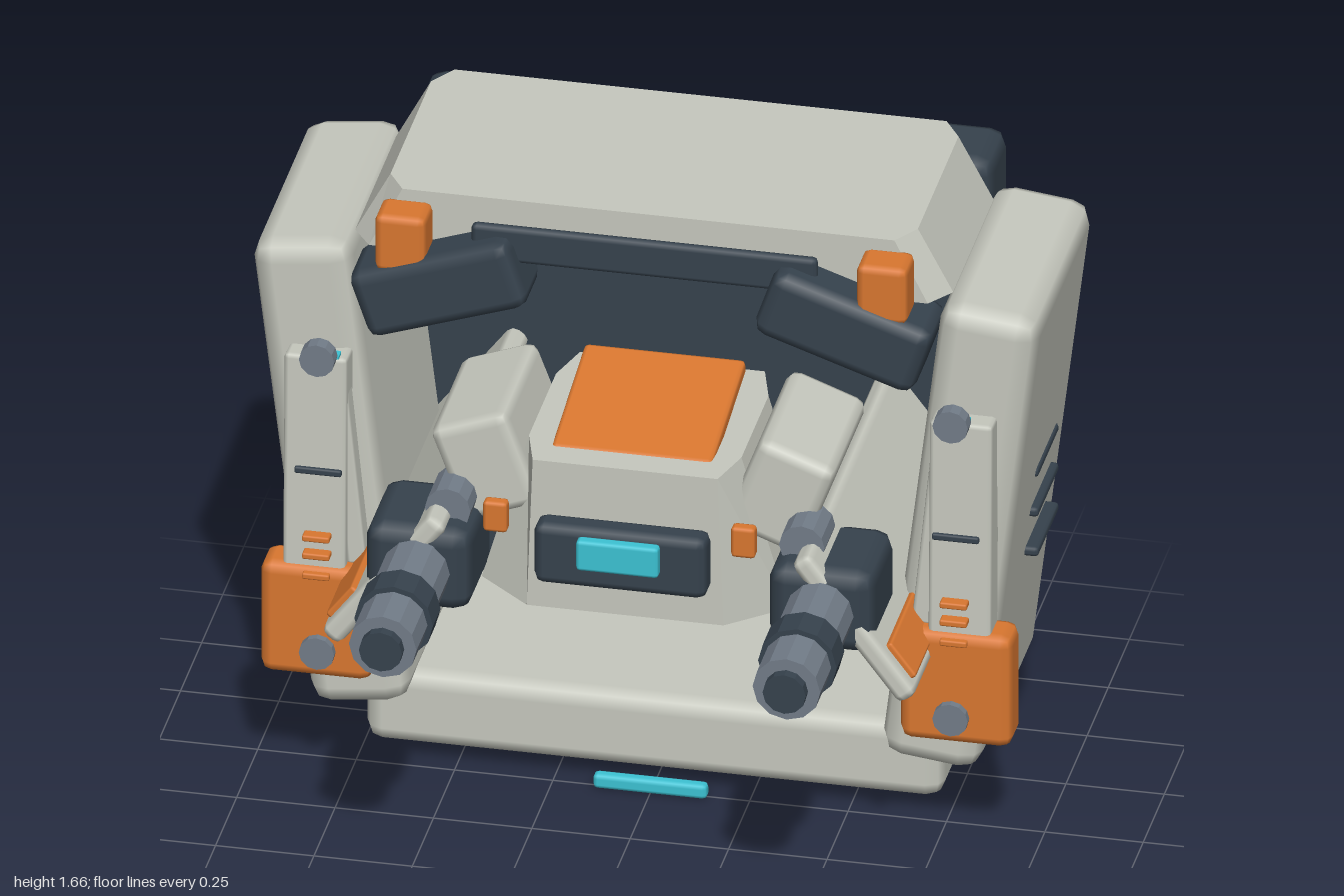
import * as THREE from 'three';
import { RoundedBoxGeometry } from 'three/addons/geometries/RoundedBoxGeometry.js';

const paint = (name, color) => {
  const m = new THREE.MeshStandardMaterial({ color });
  m.name = name;
  return m;
};

export function createModel() {
  const pale = paint('pale shell', 0xc6c8be);
  const dark = paint('dark slate', 0x36424d);
  const orange = paint('orange', 0xd97730);
  const cyan = paint('cyan light', 0x3cc3d4);
  const steel = paint('steel grey', 0x727c88);
  const model = new THREE.Group();
  model.name = 'armouredTorso';

  const add = (name, geometry, material, [x, y, z], rx = 0, rz = 0, parent = model) => {
    const mesh = new THREE.Mesh(geometry, material);
    mesh.name = name;
    mesh.position.set(x, y, z);
    mesh.rotation.set(rx, 0, rz);
    parent.add(mesh);
    return mesh;
  };
  // Box with softened edges
  const soft = (w, h, d, r) => new RoundedBoxGeometry(w, h, d, 1, r);
  // Faceted cylinder along z
  const rod = (r, length) => {
    const g = new THREE.CylinderGeometry(r, r, length, 12).toNonIndexed();
    g.rotateX(Math.PI / 2);
    g.computeVertexNormals();
    return g;
  };
  // Upright block with cut corners, narrowing in x from halfBottom to halfTop
  const taperedBlock = (halfBottom, halfTop, cutX, cutTopX, cutZ, y0, y1, z0, z1) => {
    const a = halfBottom - cutX;
    const s = new THREE.Shape([
      [-a, -z1], [a, -z1], [halfBottom, -z1 + cutZ], [halfBottom, -z0 - cutZ],
      [a, -z0], [-a, -z0], [-halfBottom, -z0 - cutZ], [-halfBottom, -z1 + cutZ],
    ].map(([x, y]) => new THREE.Vector2(x, y)));
    const g = new THREE.ExtrudeGeometry(s, { depth: y1 - y0, bevelEnabled: false });
    g.rotateX(-Math.PI / 2);
    g.translate(0, y0, 0);
    const p = g.attributes.position;
    for (let i = 0; i < p.count; i++) {
      if (p.getY(i) < (y0 + y1) / 2) continue;
      const outer = Math.abs(p.getX(i)) > halfBottom - cutX / 2;
      p.setX(i, Math.sign(p.getX(i)) * (outer ? halfTop : halfTop - cutTopX));
    }
    g.computeVertexNormals();
    return g;
  };

  // Main shell
  add('backPanel', soft(1.47, 1.42, 0.22, 0.045), dark, [0, 0.83, -0.71]);
  add('base', soft(1.47, 0.21, 0.59, 0.045), pale, [0, 0.145, -0.315]);
  add('hood', taperedBlock(0.76, 0.67, 0.05, 0.045, 0.07, 1.49, 1.66, -0.585, 0.035), pale, [0, 0, 0]);
  add('baseLight', soft(0.29, 0.04, 0.035, 0.012), cyan, [0, 0.02, 0.005]);
  add('topBar', soft(0.88, 0.1, 0.03, 0.014), dark, [0, 1.56, 0.075]);

  // Central console
  add('console', taperedBlock(0.39, 0.27, 0.14, 0.035, 0.12, 0.67, 1.085, -0.25, 0.31), pale, [0, 0, 0]);
  add('consoleHatch', soft(0.41, 0.04, 0.41, 0.012), orange, [0, 1.105, 0.03], 0.18);
  add('consoleVisor', soft(0.44, 0.17, 0.08, 0.025), dark, [0, 0.855, 0.34]);
  add('consoleScreen', soft(0.21, 0.085, 0.035, 0.01), cyan, [0, 0.88, 0.393]);

  for (const s of [1, -1]) {
    const side = new THREE.Group();
    side.name = s > 0 ? 'leftSide' : 'rightSide';
    model.add(side);
    const put = (name, g, m, [x, y, z], rx = 0, rz = 0) => add(name, g, m, [x * s, y, z], rx, rz * s, side);

    // Leaning side panel with vents
    put('sidePanel', soft(0.255, 1.31, 0.69, 0.055), pale, [0.8, 0.855, -0.245], 0, -0.12);
    for (const y of [0.908, 0.795, 0.682]) {
      put('vent', soft(0.045, 0.026, 0.25, 0.01), dark, [0.92, y, -0.315]);
    }

    // Front rail with markings, knobs and lower pack
    put('rail', soft(0.16, 0.62, 0.09, 0.012), pale, [0.82, 0.915, 0.123], -0.03);
    put('railEdge', soft(0.05, 0.56, 0.06, 0.01), pale, [0.745, 0.92, 0.12], 0, -0.1);
    put('railMark', soft(0.12, 0.018, 0.02, 0.005), dark, [0.81, 0.908, 0.168]);
    for (const y of [0.73, 0.68, 0.623]) {
      put('railStripe', soft(0.07, 0.017, 0.035, 0.005), orange, [0.81, y, 0.187]);
    }
    put('railLight', new THREE.BoxGeometry(0.08, 0.008, 0.03), cyan, [0.8, 1.23, 0.145]);
    put('upperKnob', rod(0.045, 0.04), steel, [0.805, 1.245, 0.193]);
    put('lowerPack', soft(0.285, 0.315, 0.12, 0.03), orange, [0.813, 0.488, 0.135]);
    put('lowerKnob', rod(0.045, 0.04), steel, [0.805, 0.412, 0.195]);

    // Brow lamp and post
    put('browLamp', soft(0.43, 0.19, 0.2, 0.035), dark, [0.515, 1.435, 0.05], 0, -0.33);
    put('browPost', soft(0.13, 0.16, 0.11, 0.02), orange, [0.612, 1.55, 0.077]);

    // Shoulder block, joint and angled arm slab
    put('shoulderBlock', soft(0.21, 0.27, 0.4, 0.03), pale, [0.375, 1.0, 0.035], 0, -0.36);
    put('joint', rod(0.058, 0.125), steel, [0.45, 0.92, 0.252]);
    put('armSlab', soft(0.46, 0.06, 1.02, 0.022), pale, [0.597, 0.74, -0.115], 0, -0.92);
    put('armStripe', soft(0.11, 0.03, 0.97, 0.008), orange, [0.707, 0.645, -0.125], 0, -0.92);
    put('sensor', soft(0.062, 0.085, 0.036, 0.01), orange, [0.315, 0.952, 0.37]);

    // Cannon
    put('cannonMount', soft(0.27, 0.23, 0.28, 0.045), dark, [0.512, 0.782, 0.255]);
    put('barrel', rod(0.086, 0.49), steel, [0.513, 0.782, 0.545]);
    put('barrelRing', rod(0.1, 0.09), dark, [0.513, 0.782, 0.615]);
    put('muzzle', rod(0.055, 0.04), dark, [0.513, 0.782, 0.797]);
  }
  return model;
}
